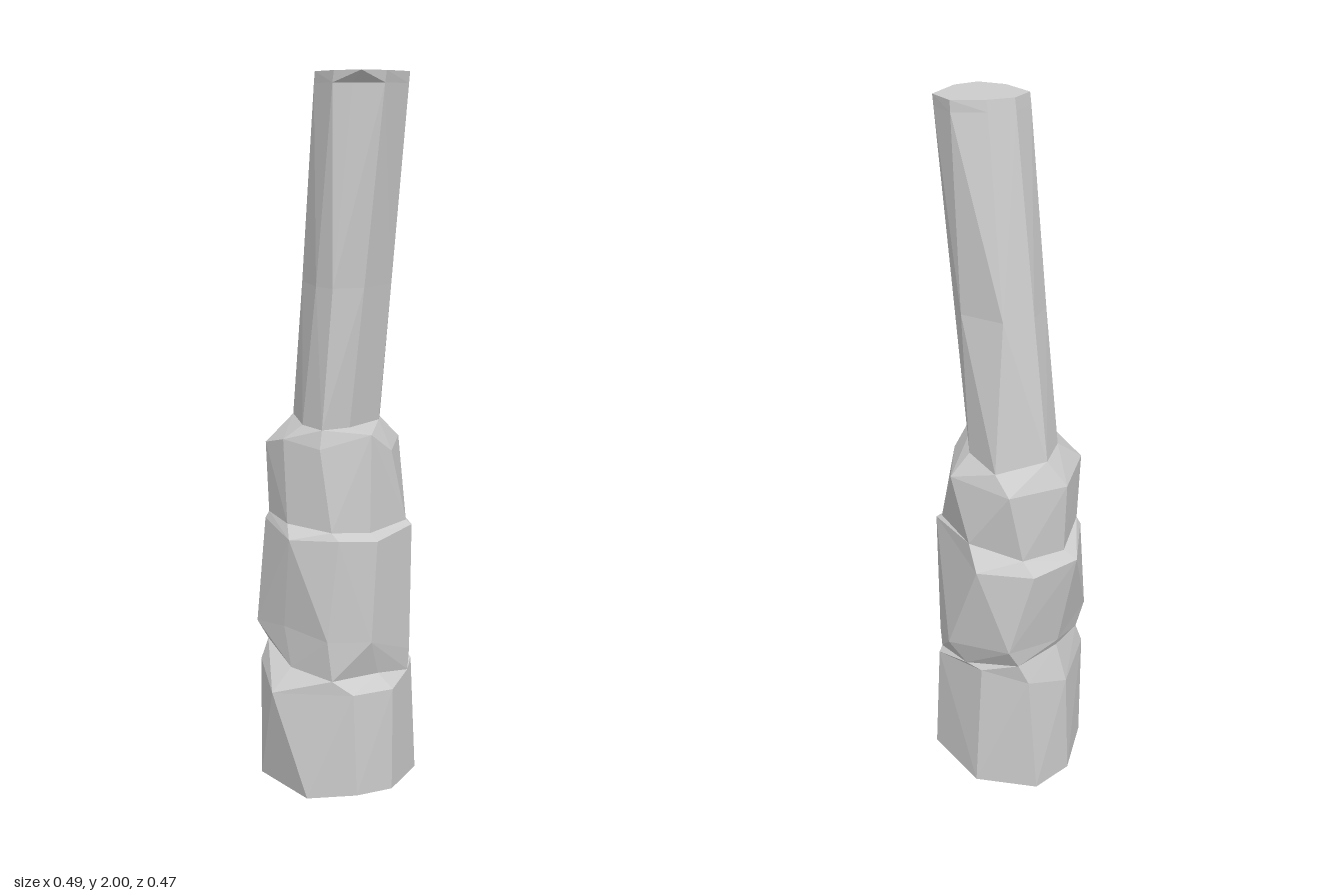
import * as THREE from 'three';

const SIDES = 8;

// Each ring holds eight corners [x, y, z], running front -> left (+x) -> back -> right.
const baseBottom = [[-.03, .025, .235], [.13, .02, .2], [.21, .01, 0], [.135, 0, -.165],
  [.01, .005, -.2], [-.165, .01, -.14], [-.22, .02, .08], [-.14, .035, .195]];
const baseTop = [[-.03, .33, .235], [.13, .36, .18], [.19, .4, -.01], [.15, .38, -.145],
  [.03, .34, -.2], [-.15, .36, -.15], [-.245, .32, -.025], [-.145, .335, .185]];
const lowerNeck = [[-.04, .37, .19], [.08, .345, .205], [.185, .405, .045], [.165, .44, -.12],
  [.03, .455, -.165], [-.13, .42, -.14], [-.18, .38, -.01], [-.17, .37, .13]];

const bulgeBottom = [[-.09, .48, .205], [.08, .41, .21], [.215, .48, .085], [.2, .5, -.11],
  [.04, .48, -.175], [-.17, .485, -.145], [-.185, .5, -.03], [-.178, .485, .12]];
const bulgeTop = [[-.08, .77, .215], [.07, .785, .22], [.24, .76, -.03], [.165, .75, -.17],
  [.045, .77, -.235], [-.125, .78, -.15], [-.22, .77, .02], [-.16, .775, .145]];
const upperNeck = [[-.08, .79, .19], [.07, .795, .2], [.2, .82, .02], [.16, .79, -.13],
  [.04, .785, -.19], [-.12, .8, -.14], [-.18, .8, -.02], [-.16, .795, .12]];

const collarTop = [[-.07, 1.06, .185], [.02, 1, .185], [.18, 1, .09], [.19, .99, -.105],
  [.045, .99, -.2], [-.12, 1, -.15], [-.16, 1.03, -.05], [-.16, 1.02, .08]];

const shaftBottom = [[-.07, 1.07, .11], [.06, 1.07, .11], [.13, 1.06, .06], [.172, 1.04, -.05],
  [.065, 1.06, -.148], [-.03, 1.07, -.125], [-.125, 1.07, -.01], [-.145, 1.07, .075]];
const shaftMiddle = [[-.06, 1.45, .15], [.065, 1.45, .145], [.115, 1.45, .09], [.114, 1.45, -.04],
  [.038, 1.45, -.088], [-.05, 1.45, -.072], [-.12, 1.45, .035], [-.13, 1.45, .1]];
const shaftTop = [[-.05, 1.97, .205], [.07, 1.97, .192], [.11, 1.97, .114], [.062, 1.97, .035],
  [.002, 1.97, -.01], [-.078, 1.97, -.005], [-.125, 1.97, .095], [-.1, 1.97, .14]];
// The rim overhangs the shaft at its front right corner.
const rim = [[-.05, 2, .21], [.07, 2, .195], [.11, 2, .115], [.06, 2, .04],
  [0, 2, -.005], [-.08, 2, 0], [-.125, 2, .1], [-.115, 2, .18]];

// True when the quad a-b-c-d bulges outward along its a-c diagonal.
function bulgesAlongAC(corners) {
  const [a, b, c, d] = corners.map((p) => new THREE.Vector3(...p));
  const outward = c.clone().sub(a).cross(d.clone().sub(b));
  return outward.dot(a.add(c).sub(b).sub(d)) > 0;
}

// Joins rings into a faceted skin, folding each quad outward.
function loft(name, rings, { capBottom = false, capTop = false } = {}) {
  const points = rings.flat();
  const index = [];
  for (let r = 0; r < rings.length - 1; r++) {
    for (let i = 0; i < SIDES; i++) {
      const a = r * SIDES + i, b = r * SIDES + (i + 1) % SIDES;
      const c = b + SIDES, d = a + SIDES;
      if (bulgesAlongAC([a, b, c, d].map((k) => points[k]))) index.push(a, b, c, a, c, d);
      else index.push(a, b, d, b, c, d);
    }
  }
  const last = (rings.length - 1) * SIDES;
  for (let i = 1; i < SIDES - 1; i++) {
    if (capBottom) index.push(0, i + 1, i);
    if (capTop) index.push(last, last + i, last + i + 1);
  }
  const indexed = new THREE.BufferGeometry();
  indexed.setAttribute('position', new THREE.Float32BufferAttribute(points.flat(), 3));
  indexed.setIndex(index);
  const geometry = indexed.toNonIndexed();
  geometry.computeVertexNormals();
  const mesh = new THREE.Mesh(geometry,
    new THREE.MeshStandardMaterial({ color: 0xcccccc, flatShading: true }));
  mesh.name = name;
  return mesh;
}

export function createModel() {
  const model = new THREE.Group();
  model.name = 'segmentedTrunk';
  model.add(
    loft('base', [baseBottom, baseTop, lowerNeck], { capBottom: true }),
    loft('bulge', [lowerNeck, bulgeBottom, bulgeTop, upperNeck]),
    loft('collar', [upperNeck, collarTop, shaftBottom]),
    loft('shaft', [shaftBottom, shaftMiddle, shaftTop, rim], { capTop: true }),
  );
  return model;
}
